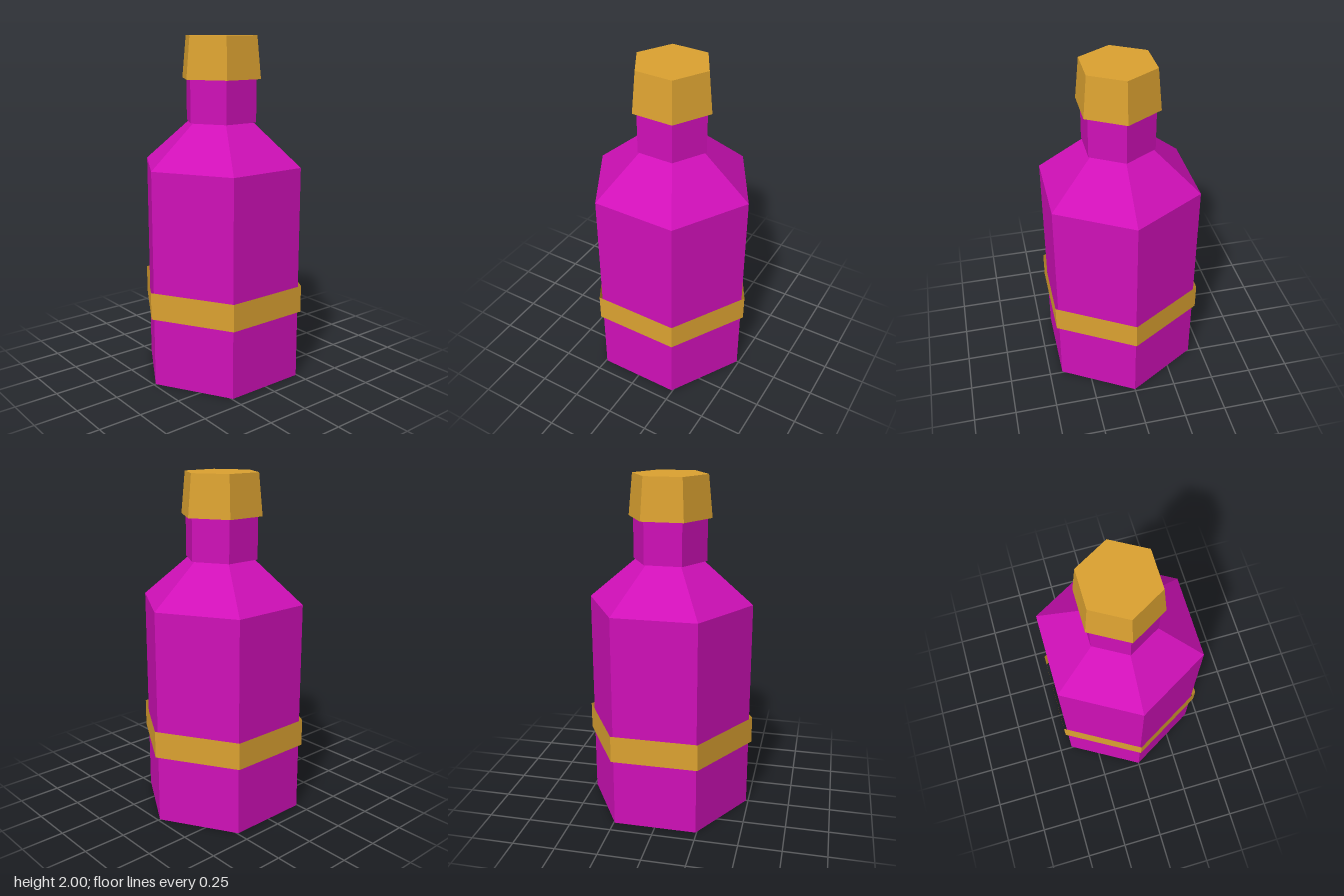
import * as THREE from 'three';

export function createModel() {
  const group = new THREE.Group();
  group.name = 'bottle';

  const glass = new THREE.MeshStandardMaterial({ color: 0xd010b8, flatShading: true, side: THREE.DoubleSide });
  glass.name = 'magenta glass';
  const gold = new THREE.MeshStandardMaterial({ color: 0xdca231, flatShading: true, side: THREE.DoubleSide });
  gold.name = 'gold';

  // Six-sided section between two heights, with corners on the x axis
  function hexSection(name, material, rBottom, rTop, y0, y1, open = true) {
    const geometry = new THREE.CylinderGeometry(rTop, rBottom, y1 - y0, 6, 1, open, Math.PI / 2);
    const mesh = new THREE.Mesh(geometry, material);
    mesh.name = name;
    mesh.position.y = (y0 + y1) / 2;
    group.add(mesh);
    return mesh;
  }

  // Straight body with a closed base
  hexSection('body', glass, 0.487, 0.487, 0, 1.27, true);
  const base = new THREE.Mesh(new THREE.CircleGeometry(0.487, 6), glass);
  base.name = 'base';
  base.rotation.x = Math.PI / 2;
  group.add(base);

  // Sloping shoulder and slightly wider neck
  hexSection('shoulder', glass, 0.487, 0.2, 1.27, 1.515);
  hexSection('neck', glass, 0.217, 0.217, 1.515, 1.765);

  // Open band wrapped round the body
  hexSection('band', gold, 0.506, 0.506, 0.41, 0.57);

  // Tapered stopper
  hexSection('cap', gold, 0.243, 0.219, 1.76, 2, false);

  return group;
}
